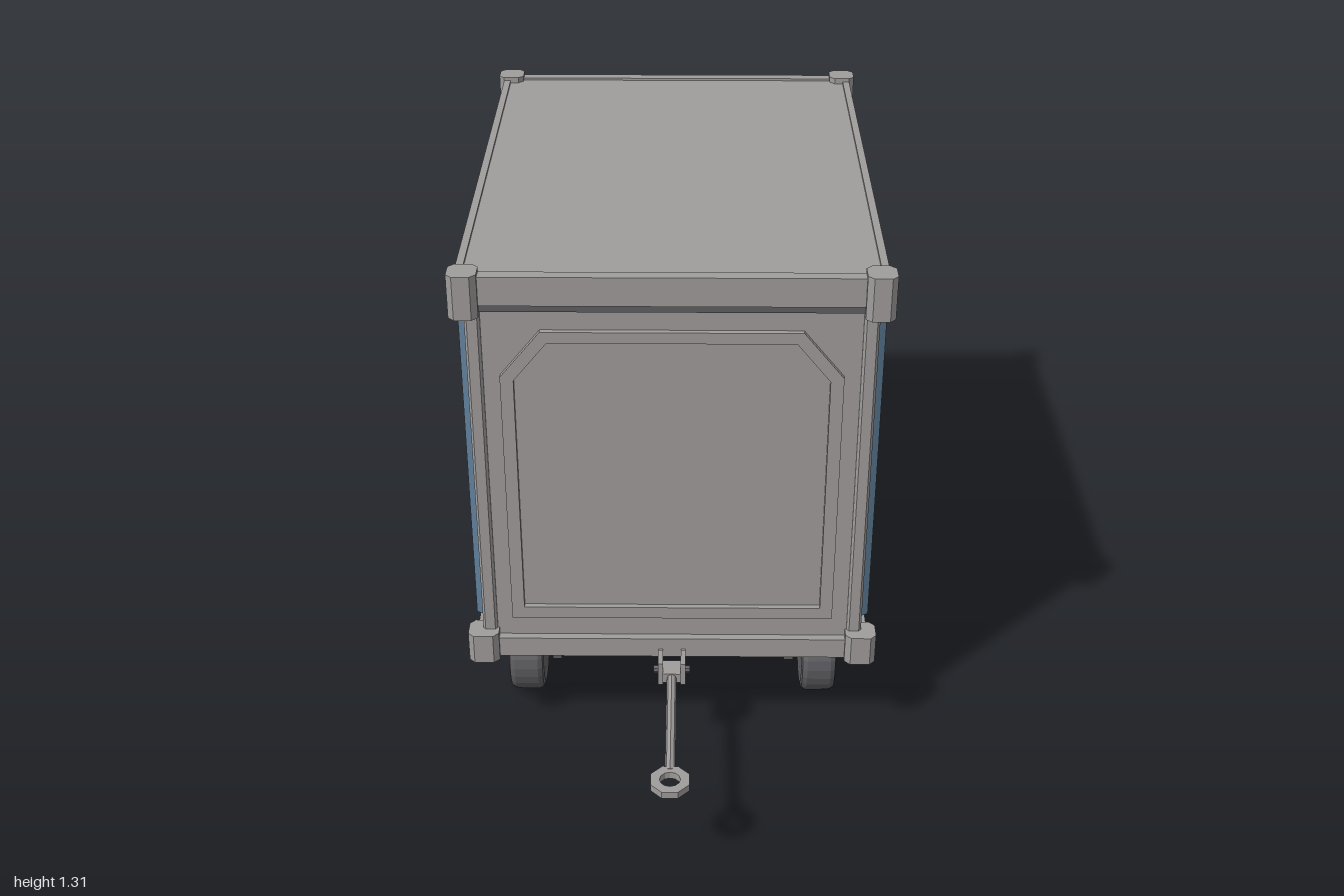
import * as THREE from 'three';

const material = (name, color, extra = {}) => {
  const m = new THREE.MeshStandardMaterial({ color, ...extra });
  m.name = name;
  return m;
};

export function createModel() {
  const grey = material('painted grey', 0xa09c9c);
  const dark = material('dark grey', 0x5f5f63);
  const tan = material('tan', 0x8e8267);
  const blue = material('curtain blue', 0x5f7f99, { side: THREE.DoubleSide });
  const model = new THREE.Group();
  model.name = 'cargoTrailer';

  const add = (name, geo, mat, x = 0, y = 0, z = 0) => {
    const m = new THREE.Mesh(geo, mat);
    m.name = name;
    m.position.set(x, y, z);
    model.add(m);
    return m;
  };
  // Box from its limits on each axis
  const box = (name, mat, x0, x1, y0, y1, z0, z1) =>
    add(name, new THREE.BoxGeometry(Math.abs(x1 - x0), Math.abs(y1 - y0), Math.abs(z1 - z0)), mat,
      (x0 + x1) / 2, (y0 + y1) / 2, (z0 + z1) / 2);
  const shapeOf = pts => new THREE.Shape(pts.map(p => new THREE.Vector2(p[0], p[1])));
  const extrude = (shape, depth) => new THREE.ExtrudeGeometry(shape, { depth, bevelEnabled: false, curveSegments: 8 });
  // Outline in x and z, raised from y0 to y1
  const upright = (pts, y0, y1) =>
    extrude(shapeOf(pts.map(([x, z]) => [x, -z])), y1 - y0).rotateX(-Math.PI / 2).translate(0, y0, 0);
  const chamfered = (w, d, c) => {
    const a = w / 2, b = d / 2;
    return [[-a + c, -b], [a - c, -b], [a, -b + c], [a, b - c], [a - c, b], [-a + c, b], [-a, b - c], [-a, -b + c]];
  };
  const rod = (name, mat, r, len, x, y, z, axis, sides = 10) => {
    const g = new THREE.CylinderGeometry(r, r, len, sides);
    if (axis === 'x') g.rotateZ(Math.PI / 2);
    if (axis === 'z') g.rotateX(Math.PI / 2);
    const m = add(name, g.toNonIndexed(), mat, x, y, z);
    m.geometry.computeVertexNormals();
    return m;
  };

  // Deck, roof and their rails
  box('floor', dark, -0.465, 0.465, 0.275, 0.317, -0.84, 0.465);
  box('roofPanel', grey, -0.48, 0.48, 1.27, 1.297, -0.86, 0.48);
  for (const s of [-1, 1]) {
    box('deckSideRail', grey, s * 0.455, s * 0.487, 0.257, 0.311, -0.86, 0.485);
    box('roofSideRail', grey, s * 0.455, s * 0.482, 1.22, 1.29, -0.86, 0.48);
    box('roofSideLip', grey, s * 0.47, s * 0.488, 1.288, 1.303, -0.865, 0.485);
    box('curtainTrack', dark, s * 0.45, s * 0.475, 1.203, 1.22, -0.82, 0.45);
  }
  for (const [z0, z1] of [[0.455, 0.485], [-0.86, -0.83]]) {
    box('deckEndRail', grey, -0.46, 0.46, 0.257, 0.311, z0, z1);
    box('roofEndRail', grey, -0.46, 0.46, 1.232, 1.29, z0, z1);
    box('roofEndLip', grey, -0.46, 0.46, 1.288, 1.303, z0, z1);
    box('roofShadowGap', dark, -0.44, 0.44, 1.215, 1.233, z0 + 0.005, z1 - 0.005);
  }

  // Corner posts with castings at both ends
  for (const s of [-1, 1]) for (const z of [0.467, -0.838]) {
    const zo = z > 0 ? 0.003 : -0.003;
    add('cornerPost', upright(chamfered(0.036, 0.036, 0.006), 0.32, 1.22), grey, s * 0.452, 0, z - zo * 4);
    add('upperCorner', upright(chamfered(0.068, 0.07, 0.014), 1.205, 1.312), grey, s * 0.468, 0, z + zo);
    add('lowerCorner', upright(chamfered(0.076, 0.07, 0.014), 0.25, 0.33), grey, s * 0.468, 0, z + zo);
  }

  // Front wall with a raised moulding
  box('frontWall', grey, -0.44, 0.44, 0.31, 1.22, 0.44, 0.465);
  const arch = (x, y0, y1, cx, cy) => [[-x, y0], [x, y0], [x, cy], [cx, y1], [-cx, y1], [-x, cy]];
  const moulding = shapeOf(arch(0.395, 0.37, 1.163, 0.3, 1.047));
  moulding.holes.push(shapeOf(arch(0.364, 0.402, 1.135, 0.285, 1.038)));
  add('frontMoulding', extrude(moulding, 0.015), grey, 0, 0, 0.464);

  // Back wall with bands and a framed panel
  box('backWall', grey, -0.44, 0.44, 0.31, 1.22, -0.835, -0.812);
  box('backUpperBand', grey, -0.44, 0.44, 1.09, 1.22, -0.847, -0.83);
  box('backLowerBand', grey, -0.44, 0.44, 0.31, 0.61, -0.847, -0.83);
  const rect = (x, y0, y1) => [[-x, y0], [x, y0], [x, y1], [-x, y1]];
  const frame = shapeOf(rect(0.33, 0.69, 1.01));
  frame.holes.push(shapeOf(rect(0.295, 0.725, 0.975)));
  add('backPanelFrame', extrude(frame, 0.015), grey, 0, 0, -0.849);

  // Pleated curtains drawn to the ends of both sides
  for (const s of [-1, 1]) for (const [z0, z1] of [[0.262, 0.437], [-0.808, -0.632]]) {
    const outer = [], inner = [];
    for (let i = 0; i <= 10; i++) {
      const z = z0 + (z1 - z0) * i / 10, x = i % 2 ? 0.49 : 0.462;
      outer.push([s * x, z]);
      inner.unshift([s * (x - 0.012), z]);
    }
    add('curtain', upright([...outer, ...inner], 0.345, 1.207), blue);
  }

  // Cargo, stacked in two mirrored rows
  const crate = (s, mat, z0, z1, y0, y1) => {
    const zc = (z0 + z1) / 2, yc = (y0 + y1) / 2;
    add('crate', upright(chamfered(0.38, z1 - z0, 0.012), y0, y1), mat, s * 0.21, 0, zc);
    box('crateHandle', dark, s * 0.395, s * 0.415, yc - 0.005, yc + 0.022, zc - 0.05, zc + 0.05);
  };
  const hexCase = (s, mat, z) => {
    const pts = [[-0.103, 0], [-0.052, -0.083], [0.052, -0.083], [0.103, 0], [0.052, 0.083], [-0.052, 0.083]];
    add('hexCase', extrude(shapeOf(pts), 0.38).translate(0, 0, -0.19).rotateY(Math.PI / 2), mat, s * 0.22, 0.4, z);
    box('hexCaseHandle', dark, s * 0.15, s * 0.29, 0.482, 0.497, z - 0.018, z + 0.018);
  };
  for (const s of [-1, 1]) {
    hexCase(s, dark, 0.143);
    hexCase(s, tan, -0.677);
    crate(s, tan, -0.225, 0.025, 0.317, 0.485);
    crate(s, tan, -0.55, -0.245, 0.317, 0.485);
    crate(s, dark, -0.43, -0.215, 0.486, 0.652);
    crate(s, tan, -0.7, -0.447, 0.486, 0.652);
  }

  // Wheels, axles and tapered bolsters
  const tyre = [[0, -0.04], [0.105, -0.045], [0.118, -0.042], [0.125, -0.03], [0.125, 0.03], [0.118, 0.042],
    [0.108, 0.045], [0.097, 0.045], [0.093, 0.035], [0.075, 0.035], [0.07, 0.042], [0, 0.042]]
    .map(p => new THREE.Vector2(p[0], p[1]));
  for (const z of [0.247, -0.617]) {
    rod('axle', dark, 0.018, 0.74, 0, 0.128, z, 'x', 10);
    const g = new THREE.BoxGeometry(0.57, 0.072, 0.21);
    const p = g.attributes.position;
    for (let i = 0; i < p.count; i++)
      if (p.getY(i) < 0) p.setXYZ(i, p.getX(i) * 0.8, p.getY(i), p.getZ(i) * 0.6);
    g.computeVertexNormals();
    add('bolster', g, grey, 0, 0.224, z);
    for (const s of [-1, 1]) {
      const w = new THREE.LatheGeometry(tyre, 28).rotateZ(-s * Math.PI / 2).toNonIndexed();
      w.computeVertexNormals();
      add('wheel', w, dark, s * 0.38, 0.126, z);
      rod('hubNut', dark, 0.03, 0.02, s * 0.427, 0.126, z, 'x', 6);
      box('axleStrut', dark, s * 0.162, s * 0.198, 0.135, 0.192, z - 0.02, z + 0.02);
      box('axleBracket', dark, s * 0.293, s * 0.317, 0.093, 0.165, z - 0.035, z + 0.035);
      box('axleClamp', dark, s * 0.28, s * 0.33, 0.115, 0.142, z - 0.024, z + 0.024);
    }
  }

  // Side step loops
  for (const s of [-1, 1]) {
    const x0 = s * 0.469, x1 = s * 0.487;
    box('stepBar', grey, x0, x1, 0.097, 0.117, -0.373, 0.003);
    box('stepLeg', grey, x0, x1, 0.115, 0.26, -0.015, 0.003);
    box('stepLeg', grey, x0, x1, 0.115, 0.26, -0.373, -0.355);
  }

  // Draw bar, clevis and towing eye
  for (const s of [-1, 1]) {
    box('clevisPlate', grey, s * 0.022, s * 0.034, 0.227, 0.29, 0.505, 0.56);
    box('clevisArm', grey, s * 0.022, s * 0.034, 0.237, 0.28, 0.48, 0.506);
  }
  rod('clevisPin', dark, 0.01, 0.09, 0, 0.258, 0.537, 'x', 8);
  box('drawBarRoot', grey, -0.022, 0.022, 0.245, 0.271, 0.52, 0.575);
  rod('drawBar', grey, 0.012, 0.36, 0, 0.258, 0.74, 'z', 8);
  const ring = (r, n, a = 0) => Array.from({ length: n }, (_, i) => {
    const t = a + i / n * Math.PI * 2;
    return [r * Math.cos(t), r * Math.sin(t)];
  });
  const eye = shapeOf(ring(0.048, 8, Math.PI / 8));
  eye.holes.push(shapeOf(ring(0.024, 12)));
  add('towingEye', extrude(eye, 0.018).rotateX(-Math.PI / 2), grey, 0, 0.249, 0.955);

  // Rear coupler: two plates and a drop pin
  const tongue = [[-0.055, -0.85], [0.055, -0.85], [0.055, -0.96], [0.03, -1], [-0.03, -1], [-0.055, -0.96]];
  add('couplerPlate', upright(tongue, 0.284, 0.298), grey);
  add('couplerPlate', upright(tongue, 0.217, 0.231), grey);
  box('couplerBlock', grey, -0.05, 0.05, 0.23, 0.285, -0.895, -0.85);
  rod('couplerPin', dark, 0.012, 0.105, 0, 0.262, -0.952, 'y', 8);
  rod('couplerPinHandle', dark, 0.008, 0.07, 0, 0.309, -0.952, 'x', 8);

  return model;
}
